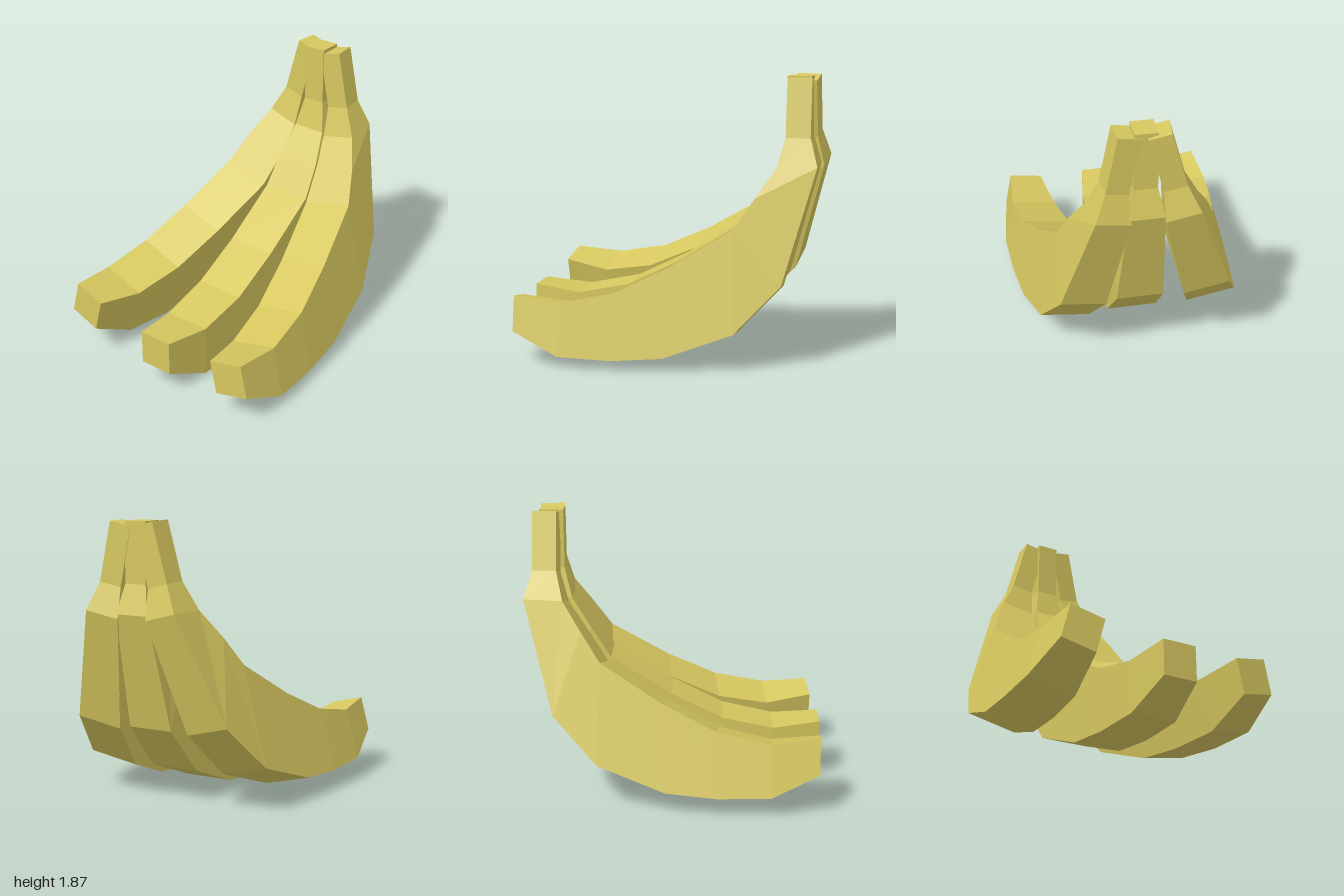
import * as THREE from 'three';

// Cross-sections from tip to stem: [front z, front y, back z, back y, half width]
const SECTIONS = [
  [1.0, 0.405, 1.0, 0.17, 0.117],
  [0.68, 0.37, 0.69, 0.02, 0.16],
  [0.33, 0.445, 0.34, 0.01, 0.17],
  [-0.02, 0.62, 0.0, 0.04, 0.17],
  [-0.43, 0.88, -0.45, 0.21, 0.17],
  [-0.56, 1.08, -0.745, 0.53, 0.155],
  [-0.69, 1.28, -0.95, 1.29, 0.115],
  [-0.74, 1.48, -0.9, 1.48, 0.075],
  [-0.74, 1.87, -0.9, 1.87, 0.073],
];
// Centre of the stem top, used as the pivot of each fruit
const PIVOT = { y: 1.87, z: -0.82 };

// Four-sided tapering body lofted through the cross-sections
function bananaGeometry() {
  const rings = SECTIONS.map(([fz, fy, bz, by, w]) => [
    [-w, fy, fz], [w, fy, fz], [w, by, bz], [-w, by, bz],
  ].map(([x, y, z]) => [x, y - PIVOT.y, z - PIVOT.z]));
  const positions = [];
  const quad = (a, b, c, d) => positions.push(...a, ...b, ...c, ...a, ...c, ...d);

  for (let i = 0; i < rings.length - 1; i++) {
    for (let j = 0; j < 4; j++) {
      const k = (j + 1) % 4;
      quad(rings[i][j], rings[i][k], rings[i + 1][k], rings[i + 1][j]);
    }
  }
  // Blunt tip and stem end
  const tip = rings[0];
  quad(tip[3], tip[2], tip[1], tip[0]);
  quad(...rings[rings.length - 1]);

  const geometry = new THREE.BufferGeometry();
  geometry.setAttribute('position', new THREE.Float32BufferAttribute(positions, 3));
  geometry.computeVertexNormals();
  return geometry;
}

export function createModel() {
  const group = new THREE.Group();
  group.name = 'bananaBunch';
  const geometry = bananaGeometry();
  const material = new THREE.MeshStandardMaterial({ color: 0xd6c75f, flatShading: true });

  // Each fruit fans out from the shared stem: stem position, then pitch, yaw, roll
  const fruits = [
    ['middleBanana', [0.05, 1.87, -0.82], [0, 0, 0]],
    ['leftBanana', [0.16, 1.853, -0.83], [0.011, 0.088, 0.197]],
    ['rightBanana', [-0.035, 1.857, -0.85], [0, -0.088, -0.262]],
  ];
  for (const [name, position, rotation] of fruits) {
    const banana = new THREE.Mesh(geometry, material);
    banana.name = name;
    banana.position.set(...position);
    banana.rotation.set(...rotation, 'ZYX');
    group.add(banana);
  }
  return group;
}
